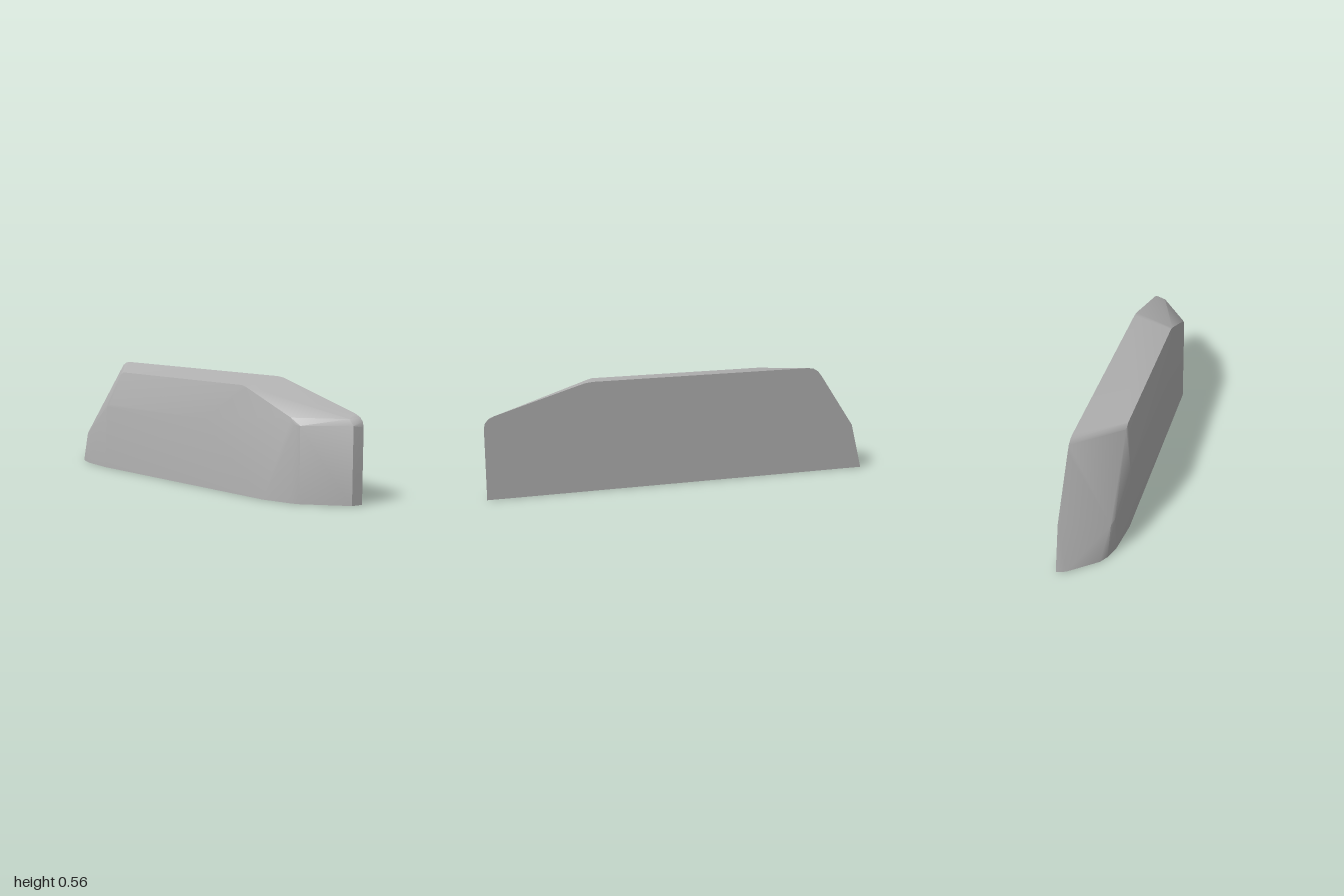
import * as THREE from 'three';
import { ConvexGeometry } from 'three/addons/geometries/ConvexGeometry.js';
import { toCreasedNormals } from 'three/addons/utils/BufferGeometryUtils.js';

const points = list => list.map(p => new THREE.Vector3(...p));

export function createModel() {
  const grey = new THREE.MeshStandardMaterial({ color: 0xb2b2b2 });
  grey.name = 'grey';

  // Flat back outline
  const back = [
    [-1, 0], [-0.94, 0.24], [-0.755, 0.52], [-0.735, 0.545], [-0.71, 0.56], [-0.68, 0.565],
    [0.46, 0.565], [0.5, 0.56], [0.95, 0.425], [0.98, 0.41], [0.995, 0.39], [1, 0.365], [1, 0]
  ].map(([x, y]) => [x, y, -0.125]);

  // Curved footprint on the ground
  const base = [
    [-0.985, -0.08], [-0.88, 0.055], [-0.84, 0.08], [-0.77, 0.104], [-0.6, 0.125],
    [0.6, 0.125], [0.75, 0.093], [0.79, 0.078], [0.985, -0.07]
  ].map(([x, z]) => [x, 0, z]);

  // Upper rim with softened corners
  const rim = [
    [-0.8, 0.165, 0.088], [-0.77, 0.18, 0.1],
    [-0.51, 0.515, 0.087], [-0.48, 0.533, 0.088], [0.42, 0.533, 0.088], [0.45, 0.525, 0.088],
    [0.74, 0.405, 0.088], [0.765, 0.375, 0.088], [0.79, 0.37, 0.078],
    [0.96, 0.405, -0.07], [0.985, 0.375, -0.07]
  ];

  // Upper edge of the flat front panel
  const panel = [[-0.58, 0.34, 0.125], [-0.55, 0.355, 0.125], [0.2, 0.35, 0.125]];

  const hull = new ConvexGeometry(points([...back, ...base, ...rim, ...panel]));
  const shell = new THREE.Mesh(toCreasedNormals(hull, THREE.MathUtils.degToRad(30)), grey);
  shell.name = 'shell';

  const model = new THREE.Group();
  model.name = 'bevelledCover';
  model.add(shell);
  return model;
}
